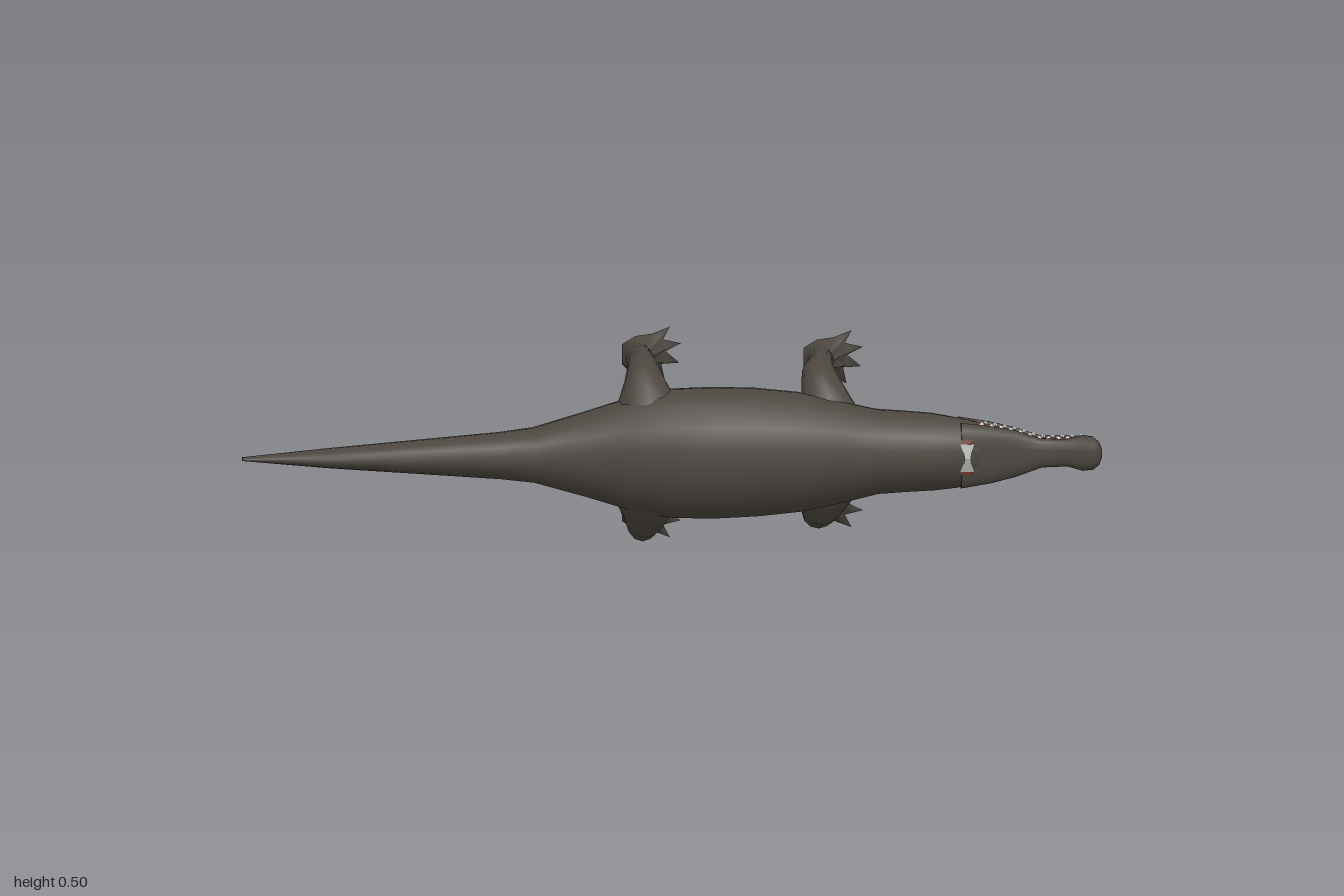
import * as THREE from 'three';

const V = (x, y, z) => new THREE.Vector3(x, y, z);

// Skin closed rings of points (counter-clockwise about the travel direction) and cap both ends.
function loft(rings) {
  const n = rings[0].length, pos = [], idx = [];
  const put = p => pos.push(p.x, p.y, p.z);
  rings.forEach(r => r.forEach(put));
  for (let k = 0; k < rings.length - 1; k++) {
    for (let i = 0; i < n; i++) {
      const a = k * n + i, b = k * n + (i + 1) % n;
      idx.push(a, b, a + n, b, b + n, a + n);
    }
  }
  [[rings[0], true], [rings[rings.length - 1], false]].forEach(([r, start]) => {
    const base = pos.length / 3;
    const mid = r.reduce((s, p) => s.add(p), V(0, 0, 0)).divideScalar(n);
    r.forEach(put);
    put(mid);
    for (let i = 0; i < n; i++) {
      const a = base + i, b = base + (i + 1) % n;
      idx.push(base + n, ...(start ? [b, a] : [a, b]));
    }
  });
  const g = new THREE.BufferGeometry();
  g.setAttribute('position', new THREE.Float32BufferAttribute(pos, 3));
  g.setIndex(idx);
  g.computeVertexNormals();
  return g;
}

// Body sections along x: [x, half width, belly z, back z]; a low power makes them boxier.
function trunk(stations, power, n = 18) {
  const pw = v => Math.sign(v) * Math.abs(v) ** power;
  return loft(stations.map(([x, w, lo, hi]) => Array.from({ length: n }, (_, i) => {
    const a = i / n * Math.PI * 2;
    return V(x, w * pw(Math.cos(a)), (lo + hi) / 2 + (hi - lo) / 2 * pw(Math.sin(a)));
  })));
}

// Limb sections along a bent path: [x, y, z, radius along x, radius across]
function limb(stations, n = 12) {
  const c = stations.map(s => V(s[0], s[1], s[2]));
  return loft(stations.map((s, k) => {
    const d = c[Math.min(k + 1, c.length - 1)].clone().sub(c[Math.max(k - 1, 0)]).normalize();
    const e = d.cross(V(1, 0, 0)).normalize();
    return Array.from({ length: n }, (_, i) => {
      const a = i / n * Math.PI * 2;
      return c[k].clone().add(V(Math.cos(a) * s[3], 0, 0)).addScaledVector(e, Math.sin(a) * s[4]);
    });
  }));
}

// Mirror across the body's middle, keeping faces outward
function mirrored(g) {
  const m = g.clone().scale(1, -1, 1);
  const ix = m.index.array;
  for (let i = 0; i < ix.length; i += 3) [ix[i], ix[i + 1]] = [ix[i + 1], ix[i]];
  m.computeVertexNormals();
  return m;
}

// Sole outline with four pointed toes, relative to the ankle
const SOLE = [[-.036, -.022], [-.036, .026], [-.005, .045], [.035, .05], [.076, .066], [.06, .036],
  [.102, .026], [.066, .008], [.098, -.02], [.056, -.022], [.064, -.06], [.025, -.042], [-.012, -.044]];

function foot([ax, ay]) {
  const ring = (z, t) => SOLE.map(([x, y]) => {
    const a = Math.atan2(y, x), rx = .03 * Math.cos(a), ry = .037 * Math.sin(a);
    return V(ax + rx + (x - rx) * t, ay + ry + (y - ry) * t, z);
  });
  return loft([ring(-.15, 0), ring(-.18, .5), ring(-.2, 1)]);
}

export function createModel() {
  const model = new THREE.Group();
  const mat = (name, color, side = THREE.FrontSide) => {
    const m = new THREE.MeshStandardMaterial({ color, side });
    m.name = name;
    return m;
  };
  const hide = mat('dark hide', 0x4b463f);
  const red = mat('mouth red', 0x7c3a2c, THREE.DoubleSide);
  const white = mat('tooth white', 0xe6e4e0);
  const grey = mat('eye grey', 0xb4b4b2, THREE.DoubleSide);
  const add = (name, g, m) => {
    const mesh = new THREE.Mesh(g, m);
    mesh.name = name;
    model.add(mesh);
    return mesh;
  };
  const pair = (name, g, m) => {
    add(name + 'Upper', g, m);
    add(name + 'Lower', mirrored(g), m);
  };

  // Tail, torso, neck and back of the head
  add('body', trunk([
    [-1, .004, .022, .044], [-.8, .022, 0, .08], [-.6, .038, -.01, .095], [-.4, .054, -.02, .11],
    [-.32, .064, -.027, .118], [-.2, .1, -.04, .137], [-.1, .132, -.053, .162], [0, .152, -.077, .186],
    [.1, .154, -.087, .198], [.2, .15, -.088, .2], [.3, .14, -.07, .195], [.4, .118, -.037, .185],
    [.48, .099, -.028, .175], [.55, .094, -.02, .179], [.61, .09, -.005, .182], [.66, .083, .025, .18],
    [.71, .073, .05, .172],
  ], .9), hide);

  // Jaws with the mouth lining between them
  add('upperJaw', trunk([
    [.67, .078, .112, .175], [.74, .068, .112, .166], [.8, .055, .111, .153], [.86, .034, .109, .149],
    [.92, .032, .107, .153], [.955, .041, .1, .174], [.98, .038, .104, .174], [.994, .026, .113, .163],
    [1, .012, .126, .15],
  ], .72), hide);
  add('lowerJaw', trunk([
    [.67, .078, .042, .089], [.74, .067, .058, .088], [.8, .053, .066, .088], [.86, .033, .072, .09],
    [.94, .032, .077, .092], [.96, .028, .082, .093], [.972, .014, .087, .092],
  ], .72), hide);
  add('mouthLining', trunk([
    [.685, .079, .093, .111], [.74, .064, .086, .114], [.8, .05, .086, .113], [.86, .03, .088, .111],
    [.95, .029, .09, .108],
  ], .5), red);

  // Alternating teeth along both sides of the mouth
  const edge = [[.72, .07], [.8, .054], [.86, .034], [.92, .033], [.97, .034]];
  const width = x => {
    const k = Math.max(1, edge.findIndex(e => e[0] >= x));
    const [a, b] = [edge[k - 1], edge[k]];
    return a[1] + (b[1] - a[1]) * (x - a[0]) / (b[0] - a[0]);
  };
  for (let i = 0; i < 22; i++) {
    const x = .722 + i * .0112;
    const g = new THREE.ConeGeometry(.0065, .022, 4);
    g.rotateX(i % 2 ? Math.PI / 2 : -Math.PI / 2);
    g.translate(x, width(x) - .002, i % 2 ? .097 : .102);
    pair('tooth' + i, g, white);
  }

  // Eye plates meeting over the brow, with red corners
  const plate = (pts, z) => {
    const s = new THREE.Shape(pts.map(p => new THREE.Vector2(...p)));
    const g = new THREE.ShapeGeometry(s);
    g.rotateX(-.24);
    g.translate(.683, 0, z);
    return g;
  };
  pair('eye', plate([[-.007, 0], [.007, 0], [.009, .012], [.017, .034], [-.017, .034], [-.009, .012]], .1835), grey);
  pair('eyeCorner', plate([[-.014, .034], [.014, .034], [.01, .043], [-.01, .043]], .1825), red);

  // Legs and feet
  const hind = [[-.05, .09, .055, .085, .07], [-.055, .13, .045, .065, .052], [-.058, .165, .01, .046, .045],
    [-.058, .183, -.04, .036, .043], [-.056, .185, -.1, .031, .043], [-.055, .184, -.16, .03, .037]];
  const front = [[.37, .07, .04, .085, .06], [.367, .115, .03, .06, .05], [.357, .148, 0, .046, .042],
    [.354, .167, -.05, .038, .038], [.364, .168, -.1, .03, .037], [.37, .168, -.16, .03, .037]];
  for (const [name, path] of [['hind', hind], ['front', front]]) {
    pair(name + 'Leg', limb(path), hide);
    pair(name + 'Foot', foot(path[path.length - 1]), hide);
  }

  model.position.y = .26;
  const root = new THREE.Group();
  root.name = 'reptile';
  root.add(model);
  return root;
}
